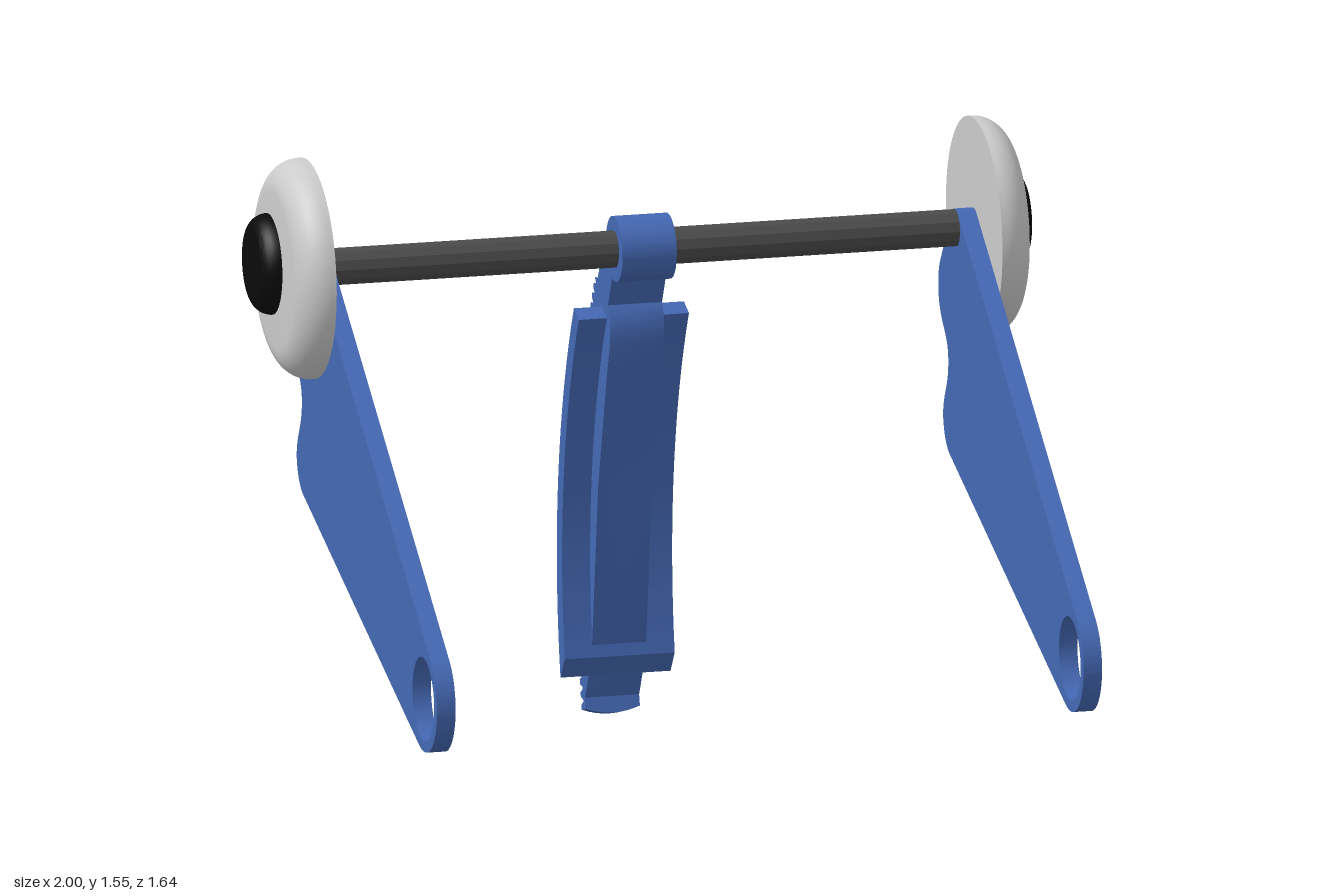
import * as THREE from 'three';
import { toCreasedNormals } from 'three/addons/utils/BufferGeometryUtils.js';

const paint = (color) => new THREE.MeshStandardMaterial({ color });
const rad = THREE.MathUtils.degToRad;

// Side profiles use (u, y) with u = -z
const PIVOT = { u: -0.685, y: 0.436 };
const AXLE = { u: 0.438, y: 1.28 };

// Point at radius r and angle a around the pivot
const polar = (r, a) => [PIVOT.u + r * Math.cos(a), PIVOT.y + r * Math.sin(a)];

// Extrude a side profile along x, centred on x = 0
function slab(shape, width, steps = 1) {
  const geo = new THREE.ExtrudeGeometry(shape, { depth: width, steps, bevelEnabled: false, curveSegments: 32 });
  return geo.translate(0, 0, -width / 2);
}
const finish = (geo) => toCreasedNormals(geo.rotateY(Math.PI / 2), 0.5);

function armGeometry() {
  const s = new THREE.Shape();
  s.moveTo(-0.642, 0.308);
  s.lineTo(0.49, 0.682);
  s.quadraticCurveTo(0.545, 0.70, 0.557, 0.765);
  s.bezierCurveTo(0.56, 0.83, 0.50, 0.85, 0.507, 0.93);
  s.bezierCurveTo(0.515, 1.0, 0.605, 1.0, 0.605, 1.10);
  s.quadraticCurveTo(0.605, 1.13, 0.59, 1.155);
  s.absarc(AXLE.u, AXLE.y, 0.048, rad(40), rad(123), false);
  s.absarc(PIVOT.u, PIVOT.y, 0.135, rad(123), rad(288.6), false);
  const hole = new THREE.Path();
  hole.absarc(PIVOT.u, PIVOT.y, 0.106, 0, Math.PI * 2, true);
  s.holes.push(hole);
  return finish(slab(s, 0.048));
}

// Central web of the rack with the collar around the axle
function webGeometry() {
  const s = new THREE.Shape();
  s.moveTo(0.66, 0.176);
  s.lineTo(...polar(1.48, -0.278));
  s.absarc(PIVOT.u, PIVOT.y, 1.48, -0.278, 0.5, false);
  s.absarc(AXLE.u, AXLE.y, 0.083, rad(35), rad(285), false);
  for (const p of [[0.5, 1.12], [0.482, 1.09], [0.478, 1.03], [0.513, 0.93], [0.597, 0.626]]) s.lineTo(...p);
  s.closePath();
  return finish(slab(s, 0.14));
}

// Wider curved flange
function flangeGeometry() {
  const s = new THREE.Shape();
  s.moveTo(...polar(1.36, -0.192));
  s.lineTo(...polar(1.412, -0.226));
  s.absarc(PIVOT.u, PIVOT.y, 1.412, -0.226, 0.492, false);
  s.lineTo(...polar(1.36, 0.497));
  s.absarc(PIVOT.u, PIVOT.y, 1.36, 0.497, -0.192, true);
  return finish(slab(s, 0.285));
}

// Toothed strip; the teeth bow downwards towards the middle
function teethGeometry() {
  const start = -0.283, end = 0.505, count = 37;
  const pitch = (end - start) / count;
  const pts = [polar(1.46, start)];
  for (let i = 0; i < count; i++) {
    const a = start + i * pitch;
    for (const [r, t] of [[1.502, 0], [1.502, 0.4], [1.48, 0.6], [1.48, 0.8]]) pts.push(polar(r, a + t * pitch));
  }
  pts.push(polar(1.502, end));
  for (let i = 0; i < 20; i++) pts.push(polar(1.46, end - (i / 20) * (end - start)));
  const geo = slab(new THREE.Shape(pts.map((p) => new THREE.Vector2(...p))), 0.14, 8);
  const pos = geo.attributes.position;
  for (let i = 0; i < pos.count; i++) {
    const a = -0.009 * (1 - (pos.getZ(i) / 0.07) ** 2);
    const u = pos.getX(i) - PIVOT.u, y = pos.getY(i) - PIVOT.y;
    pos.setXY(i, PIVOT.u + u * Math.cos(a) - y * Math.sin(a), PIVOT.y + u * Math.sin(a) + y * Math.cos(a));
  }
  geo.computeVertexNormals();
  return geo.rotateY(Math.PI / 2);
}

// Disc with flat inner face and a rounded outer rim, spun around y
function roundedDisc(radius, height, roundR, roundH) {
  const pts = [new THREE.Vector2(0, 0), new THREE.Vector2(radius, 0)];
  for (let i = 0; i <= 10; i++) {
    const a = (i / 10) * Math.PI / 2;
    pts.push(new THREE.Vector2(radius - roundR * (1 - Math.cos(a)), height - roundH * (1 - Math.sin(a))));
  }
  pts.push(new THREE.Vector2(0, height));
  return toCreasedNormals(new THREE.LatheGeometry(pts, 56), 0.6);
}

export function createModel() {
  const model = new THREE.Group();
  const blue = paint(0x4468b4), dark = paint(0x4a4a4a), black = paint(0x0a0a0a), grey = paint(0xcccccc);
  const add = (name, geo, mat, x = 0, y = 0, z = 0) => {
    const mesh = new THREE.Mesh(geo, mat);
    mesh.name = name;
    mesh.position.set(x, y, z);
    model.add(mesh);
    return mesh;
  };

  // Axle
  const axleGeo = new THREE.CylinderGeometry(0.048, 0.048, 1.67, 12).toNonIndexed();
  axleGeo.computeVertexNormals();
  add('axle', axleGeo, dark, 0, AXLE.y, -AXLE.u).rotation.z = Math.PI / 2;

  // Arms, wheels and hubs on both sides
  const arm = armGeometry();
  const wheel = roundedDisc(0.278, 0.09, 0.085, 0.08);
  const hub = roundedDisc(0.128, 0.07, 0.045, 0.05);
  for (const [side, sign] of [['left', 1], ['right', -1]]) {
    add(side + 'Arm', arm, blue, sign * 0.837);
    add(side + 'Wheel', wheel, grey, sign * 0.862, AXLE.y, -AXLE.u).rotation.z = -sign * Math.PI / 2;
    add(side + 'Hub', hub, black, sign * 0.93, 1.287, -0.48).rotation.z = -sign * Math.PI / 2;
  }

  // Curved rack hanging from the axle
  add('rackWeb', webGeometry(), blue);
  add('rackFlange', flangeGeometry(), blue);
  add('rackTeeth', teethGeometry(), blue);

  // Slight yaw of the whole assembly
  model.rotation.y = 0.0075;
  return model;
}
